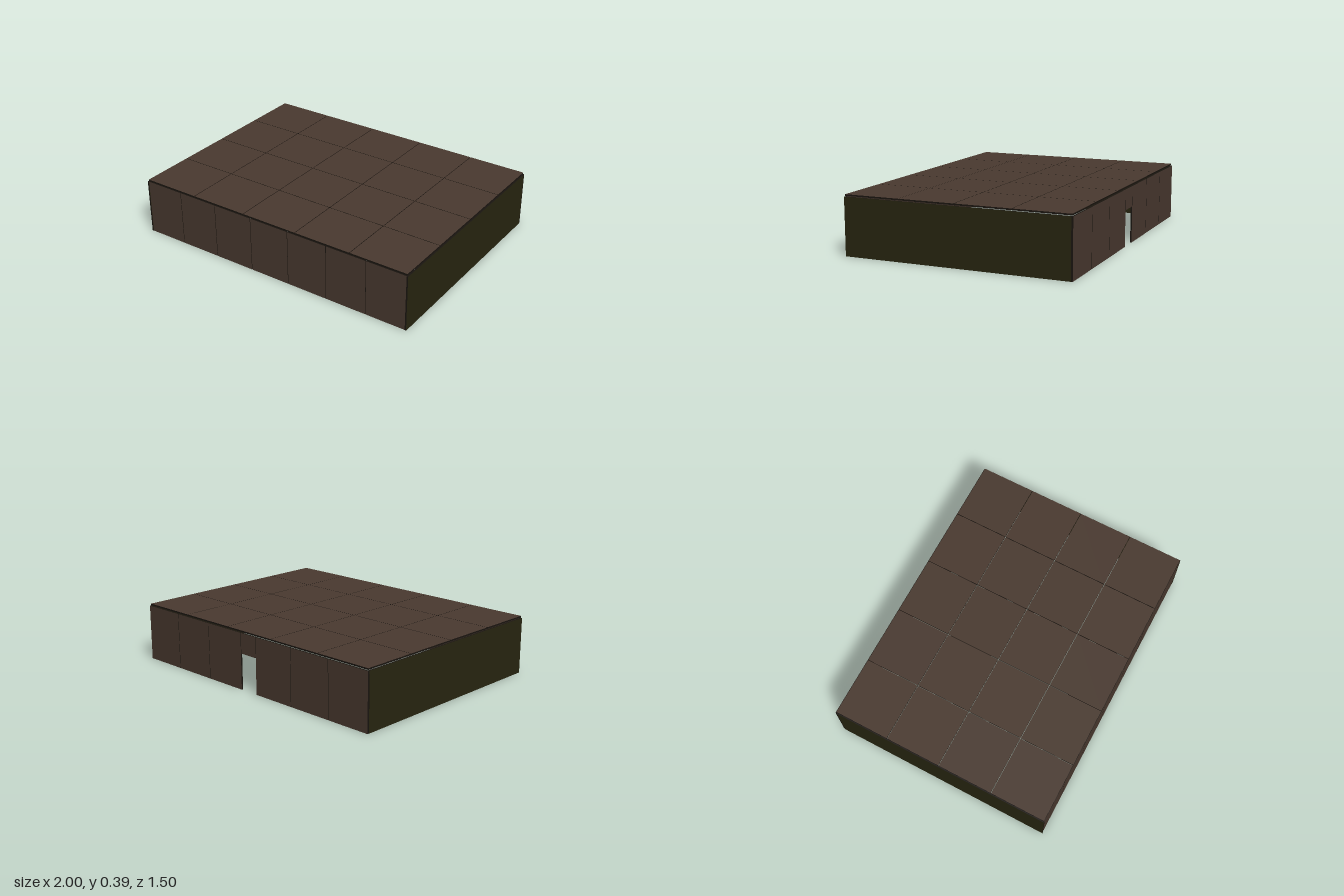
import * as THREE from 'three';

export function createModel() {
  const model = new THREE.Group();
  const brown = new THREE.MeshStandardMaterial({ color: 0x49392f });
  brown.name = 'brown board';
  const olive = new THREE.MeshStandardMaterial({ color: 0x272510 });
  olive.name = 'dark olive board';
  const edge = new THREE.MeshStandardMaterial({ color: 0x1a1510 });
  edge.name = 'dark board edge';

  const T = 0.01;      // board thickness
  const GAP = 0.004;   // seam between boards
  const WALL = 0.375;  // wall height
  const DOOR_W = 0.134, DOOR_H = 0.24;

  // Thin board: broad faces in the main colour, narrow rims dark
  function board(parent, name, size, pos, face) {
    const thin = size.indexOf(Math.min(...size));
    const mats = [0, 0, 1, 1, 2, 2].map((axis) => (axis === thin ? face : edge));
    const mesh = new THREE.Mesh(new THREE.BoxGeometry(...size), mats);
    mesh.position.set(...pos);
    mesh.name = name;
    parent.add(mesh);
  }

  function part(name) {
    const group = new THREE.Group();
    group.name = name;
    model.add(group);
    return group;
  }

  // Front wall: seven equal boards
  const front = part('frontWall');
  const fw = 2 / 7;
  for (let i = 0; i < 7; i++) {
    board(front, 'frontBoard', [fw - GAP, WALL, T], [-1 + fw * (i + 0.5), WALL / 2, 0.745 - T / 2], brown);
  }

  // Back wall: three boards either side of the doorway, lintel above it
  const back = part('backWall');
  const bw = (1 - DOOR_W / 2) / 3;
  for (const side of [-1, 1]) {
    for (let i = 0; i < 3; i++) {
      const x = side * (DOOR_W / 2 + bw * (i + 0.5));
      board(back, 'backBoard', [bw - GAP, WALL, T], [x, WALL / 2, -0.75 + T / 2], brown);
    }
  }
  board(back, 'doorLintel', [DOOR_W - GAP, WALL - DOOR_H, T], [0, (WALL + DOOR_H) / 2, -0.75 + T / 2], brown);

  // Side walls
  for (const side of [-1, 1]) {
    board(model, side > 0 ? 'leftWall' : 'rightWall', [T, WALL, 1.486],
      [side * (1 - T / 2), WALL / 2, 0.004], olive);
  }

  // Roof: five by four boards, raised slightly above the walls
  const roof = part('roof');
  const rw = 1.99 / 5, rd = 1.49 / 4;
  for (let i = 0; i < 5; i++) {
    for (let j = 0; j < 4; j++) {
      board(roof, 'roofBoard', [rw - GAP, T, rd - GAP],
        [(i - 2) * rw, 0.379 + T / 2, (j - 1.5) * rd], brown);
    }
  }
  return model;
}
